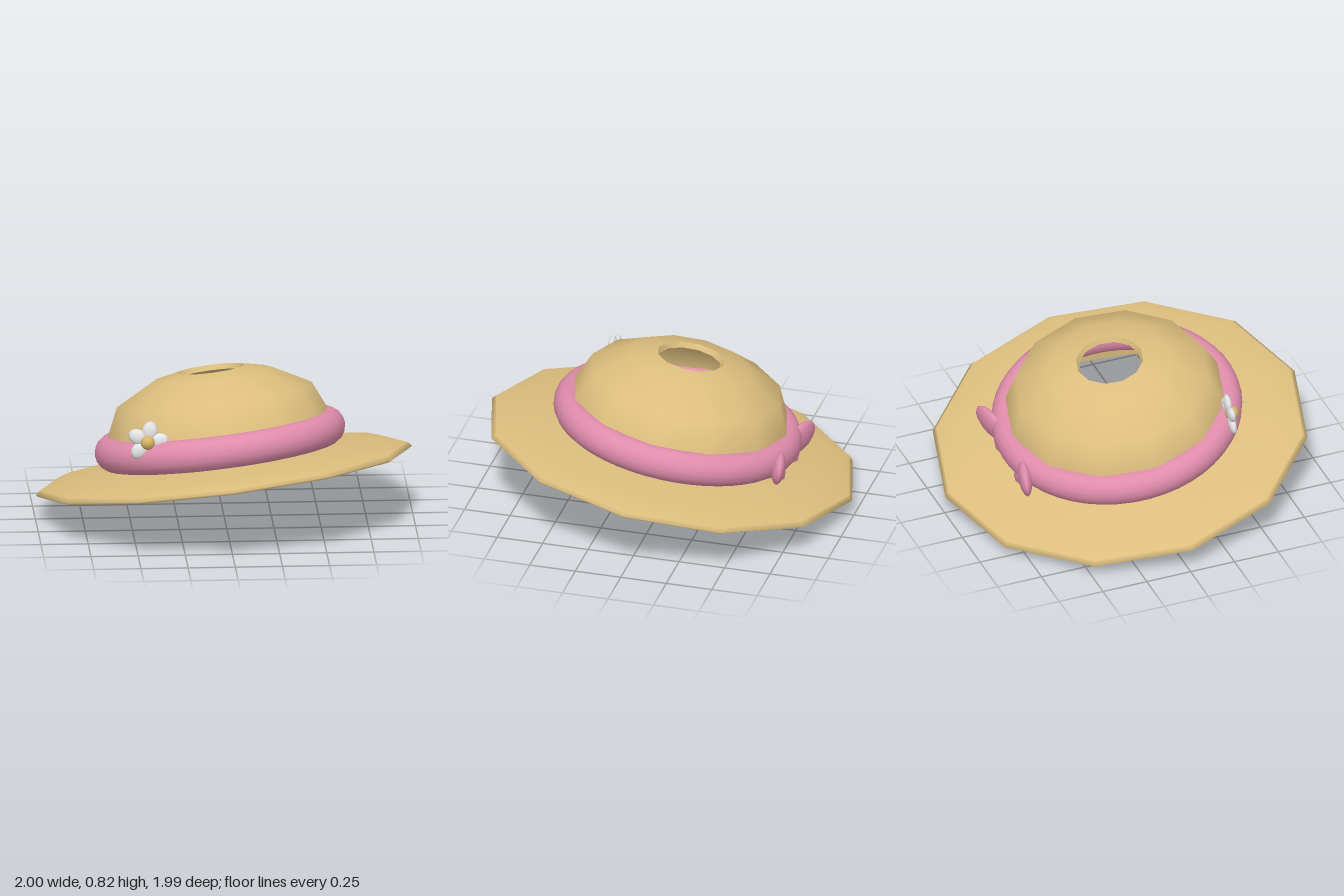
import * as THREE from 'three';

const material = (name, color) => {
  const m = new THREE.MeshStandardMaterial({ color });
  m.name = name;
  return m;
};

export function createModel() {
  const straw = material('straw', 0xdcbe7e);
  const pink = material('pink ribbon', 0xdf8caa);
  const white = material('white petal', 0xececec);
  const yellow = material('flower yellow', 0xd9b566);

  const model = new THREE.Group();
  model.name = 'sunHat';

  // Everything but the flower sits in a tilted frame centred on the brim
  const hat = new THREE.Group();
  hat.name = 'tiltedHat';
  hat.position.y = 0.26;
  hat.quaternion.setFromUnitVectors(
    new THREE.Vector3(0, 1, 0),
    new THREE.Vector3(-0.12, 1, -0.16).normalize()
  );
  model.add(hat);

  const add = (parent, name, geometry, mat) => {
    const mesh = new THREE.Mesh(geometry, mat);
    mesh.name = name;
    parent.add(mesh);
    return mesh;
  };

  // Straw shell: separate twelve-sided lathes keep the edges between them crisp
  const shell = (name, profile) =>
    add(hat, name, new THREE.LatheGeometry(profile.map(([r, y]) => new THREE.Vector2(r, y)), 12), straw);
  shell('brimUnderside', [[0.56, 0.05], [0.8, 0.033], [0.93, 0.008], [0.985, -0.012]]);
  shell('brimEdge', [[0.985, -0.012], [1.005, 0], [0.985, 0.022]]);
  shell('brimTop', [[0.985, 0.022], [0.92, 0.043], [0.8, 0.064], [0.6, 0.085]]);
  shell('crownOutside', [[0.6, 0.085], [0.605, 0.17], [0.592, 0.25], [0.52, 0.41], [0.33, 0.512], [0.18, 0.548]]);
  shell('crownHoleWall', [[0.18, 0.548], [0.166, 0.52]]);
  shell('crownInside', [[0.166, 0.52], [0.315, 0.485], [0.49, 0.39], [0.56, 0.245], [0.565, 0.15], [0.56, 0.05]]);

  // Ribbon band around the crown
  const band = add(hat, 'ribbonBand', new THREE.TorusGeometry(0.587, 0.081, 16, 48), pink);
  band.rotation.x = Math.PI / 2;
  band.scale.z = 1.1;
  band.position.y = 0.17;

  // Bow loops and hanging tails at the back
  for (const side of [1, -1]) {
    const label = side > 0 ? 'left' : 'right';
    const loop = add(hat, label + 'BowLoop', new THREE.SphereGeometry(1, 12, 8), pink);
    loop.scale.set(0.125, 0.085, 0.036);
    loop.position.set(side * 0.235, 0.17, -0.625);
    loop.rotation.set(0, side * 0.27, side * 0.15);

    const tail = add(hat, label + 'BowTail', new THREE.SphereGeometry(1, 8, 6), pink);
    tail.scale.set(0.058, 0.165, 0.032);
    tail.position.set(side * 0.115, 0.005, -0.61);
    tail.rotation.set(-0.16, 0, side * -0.28);
  }

  // Flower resting on the band
  const flower = new THREE.Group();
  flower.name = 'flower';
  flower.position.set(-0.43, 0.55, 0.45);
  flower.rotation.set(-0.1, -0.1, 0);
  model.add(flower);
  for (let i = 0; i < 5; i++) {
    const angle = THREE.MathUtils.degToRad(80 + i * 72);
    const petal = add(flower, 'petal', new THREE.SphereGeometry(1, 8, 6), white);
    petal.scale.set(0.055, 0.041, 0.022);
    petal.position.set(Math.cos(angle) * 0.06, Math.sin(angle) * 0.06, 0);
    petal.rotation.z = angle;
  }
  const centre = add(flower, 'flowerCentre', new THREE.SphereGeometry(0.038, 10, 8), yellow);
  centre.position.z = 0.015;

  return model;
}
